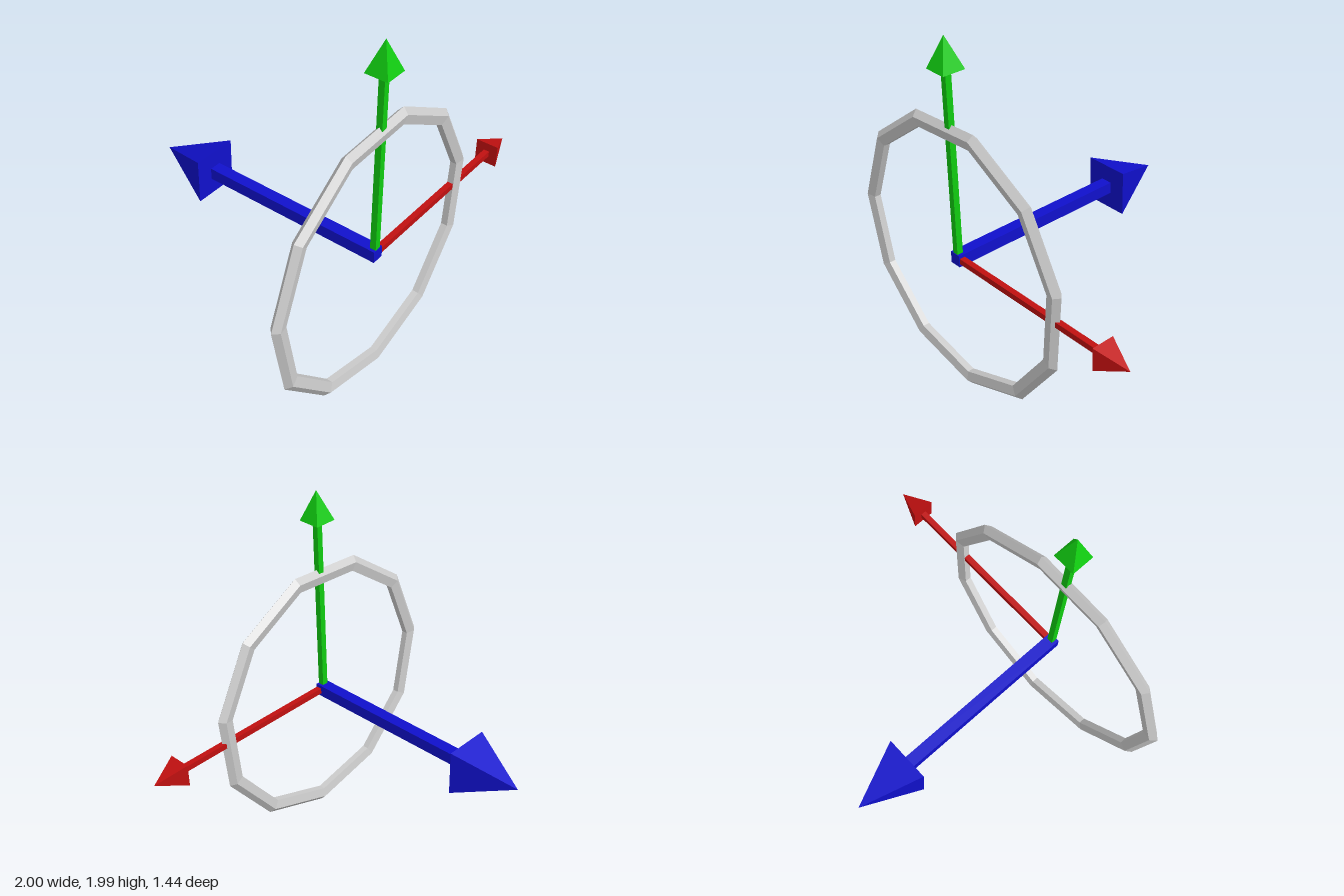
import * as THREE from 'three';

const material = (color) => new THREE.MeshStandardMaterial({ color, flatShading: true });

// Square-shafted arrow pointing along +y, with a four-sided head
function makeArrow(name, color, shaftWidth, headWidth, headLength, tail) {
  const arrow = new THREE.Group();
  arrow.name = name;
  const mat = material(color);
  const shaftLength = 1.04;

  const shaft = new THREE.Mesh(
    new THREE.BoxGeometry(shaftWidth, shaftLength + tail, shaftWidth), mat);
  shaft.name = name + 'Shaft';
  shaft.position.y = (shaftLength - tail) / 2;

  const head = new THREE.Mesh(
    new THREE.ConeGeometry(headWidth * Math.SQRT1_2, headLength, 4, 1, false, Math.PI / 4), mat);
  head.name = name + 'Head';
  head.position.y = shaftLength + headLength / 2;

  arrow.add(shaft, head);
  return arrow;
}

export function createModel() {
  const model = new THREE.Group();
  model.name = 'axisGizmo';

  // Everything is arranged around the shared origin of the arrows
  const gizmo = new THREE.Group();
  gizmo.name = 'gizmo';
  gizmo.position.set(-0.213, 0.793, 0.658);
  model.add(gizmo);

  // Eleven-sided ring with a flattened pentagonal section
  const ring = new THREE.Mesh(new THREE.TorusGeometry(0.74, 0.047, 5, 11), material(0xcccccc));
  ring.name = 'ring';
  ring.scale.z = 0.66;
  ring.rotation.z = THREE.MathUtils.degToRad(11.6);
  gizmo.add(ring);

  // Sideways, upward and (thicker) backward arrows
  const xArrow = makeArrow('xArrow', 0xc01010, 0.032, 0.127, 0.173, 0);
  xArrow.rotation.z = -Math.PI / 2;
  const yArrow = makeArrow('yArrow', 0x10cc10, 0.034, 0.127, 0.167, 0);
  const zArrow = makeArrow('zArrow', 0x1010cc, 0.066, 0.256, 0.338, 0.02);
  zArrow.rotation.x = -Math.PI / 2;
  gizmo.add(xArrow, yArrow, zArrow);

  return model;
}
